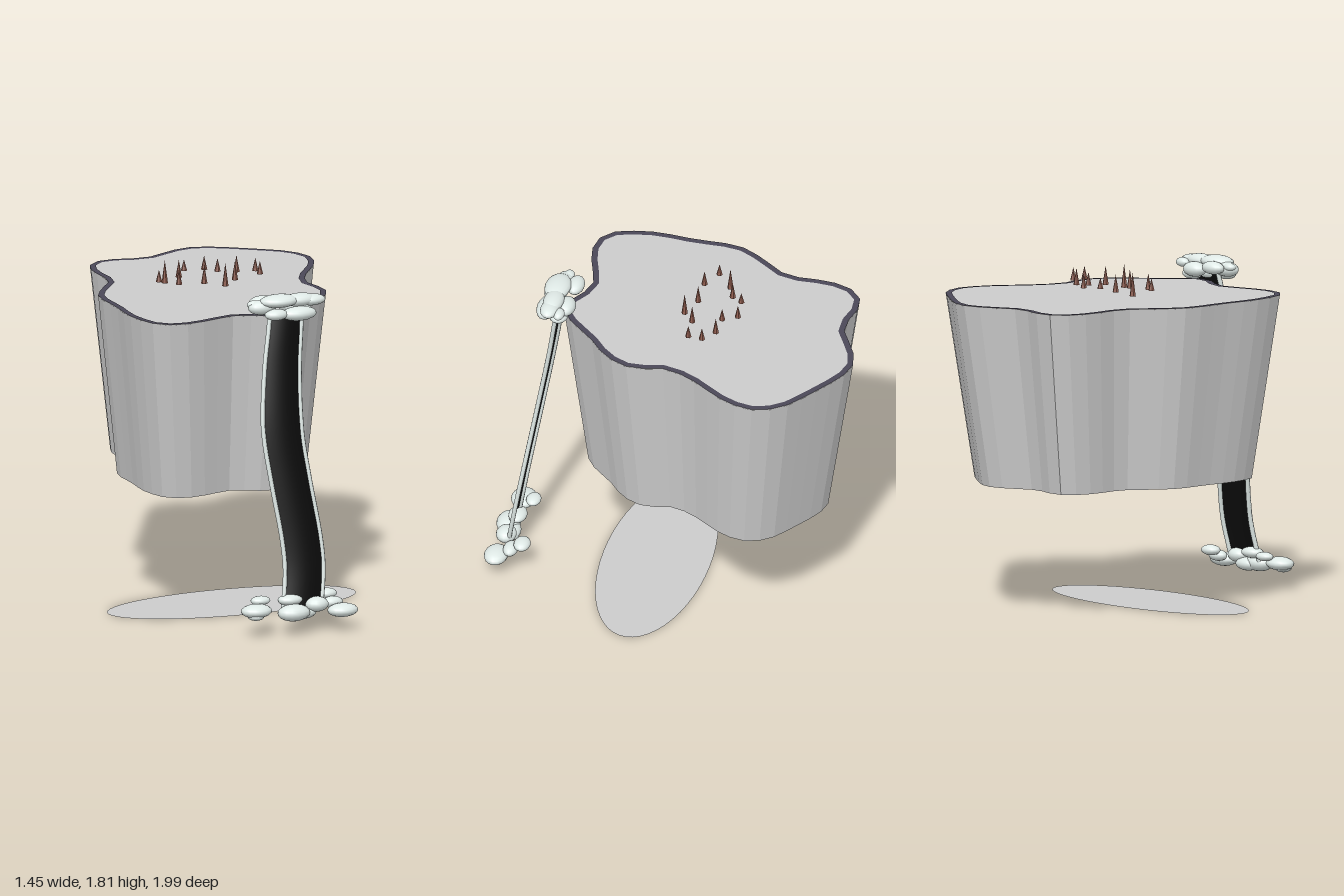
import * as THREE from 'three';

const TOP = 1.66, BOTTOM = 0.68, TAPER = 0.83, CENTRE = [-0.035, -0.14];

// Island outline [x, z], clockwise seen from above
const OUTLINE = [
  [0.21, -0.995], [0.295, -0.975], [0.51, -0.835], [0.665, -0.705], [0.72, -0.56], [0.675, -0.4],
  [0.535, -0.185], [0.48, -0.04], [0.51, 0.14], [0.445, 0.29], [0.29, 0.43], [0.205, 0.53],
  [0.07, 0.612], [-0.085, 0.535], [-0.155, 0.51], [-0.245, 0.53], [-0.42, 0.58], [-0.515, 0.58],
  [-0.61, 0.535], [-0.675, 0.32], [-0.665, 0.08], [-0.655, -0.185], [-0.545, -0.365], [-0.475, -0.47],
  [-0.47, -0.68], [-0.45, -0.795], [-0.395, -0.875], [-0.31, -0.91], [-0.09, -0.875], [0.09, -0.965],
];

const mat = (color, opts = {}) => new THREE.MeshStandardMaterial({ color, ...opts });
const grey = mat(0xcccccc, { side: THREE.DoubleSide });
const greyFlat = mat(0xcccccc, { side: THREE.DoubleSide, flatShading: true });
const rimMat = mat(0x4b4858, { side: THREE.DoubleSide });
const waterMat = mat(0x0b0b0b, { side: THREE.DoubleSide });
const foamMat = mat(0xdfe9e6);
const spikeMat = mat(0x8c5a4c, { flatShading: true });

function add(parent, name, geometry, material) {
  const mesh = new THREE.Mesh(geometry, material);
  mesh.name = name;
  parent.add(mesh);
  return mesh;
}

// Surface through rows of points, rows running from top to bottom
function loft(rows) {
  const n = rows[0].length, index = [];
  for (let r = 0; r < rows.length - 1; r++) {
    for (let i = 0; i < n - 1; i++) {
      const a = r * n + i, d = a + n;
      index.push(a, a + 1, d + 1, a, d + 1, d);
    }
  }
  const geo = new THREE.BufferGeometry().setFromPoints(rows.flat());
  geo.setIndex(index);
  geo.computeVertexNormals();
  return geo;
}

function flatShape(points, hole) {
  const toShape = p => new THREE.Vector2(p.x, -p.z);
  const shape = new THREE.Shape(points.map(toShape));
  if (hole) shape.holes.push(new THREE.Path(hole.map(toShape)));
  return new THREE.ShapeGeometry(shape).rotateX(-Math.PI / 2);
}

function buildIsland(parent) {
  const curve = new THREE.CatmullRomCurve3(
    OUTLINE.map(([x, z]) => new THREE.Vector3(x, TOP, z)), true, 'centripetal');
  const ring = curve.getSpacedPoints(50);
  const base = ring.map(p => new THREE.Vector3(
    CENTRE[0] + (p.x - CENTRE[0]) * TAPER, BOTTOM, CENTRE[1] + (p.z - CENTRE[1]) * TAPER));
  const wall = loft([ring, base]).toNonIndexed();
  wall.computeVertexNormals();
  add(parent, 'islandWall', wall, greyFlat);

  // Ground cap with a thin dark border inset from the outline
  const loop = ring.slice(0, -1), n = loop.length;
  const inset = loop.map((p, i) => {
    const t = loop[(i + 1) % n].clone().sub(loop[(i + n - 1) % n]).normalize();
    return new THREE.Vector3(p.x - t.z * 0.032, 0, p.z + t.x * 0.032);
  });
  add(parent, 'islandTop', flatShape(loop), grey).position.y = TOP - 0.004;
  add(parent, 'islandRim', flatShape(loop, inset), rimMat).position.y = TOP;
}

function buildWaterfall(parent) {
  const group = new THREE.Group();
  group.name = 'waterfall';
  parent.add(group);
  const path = new THREE.CatmullRomCurve3([
    [0.08, 1.7, 0.625], [0.072, 1.62, 0.64], [0.04, 1.4, 0.675], [0.018, 1.07, 0.733], [0.045, 0.8, 0.778],
    [0.085, 0.5, 0.827], [0.092, 0.34, 0.853], [0.065, 0.13, 0.89],
  ].map(p => new THREE.Vector3(...p)));
  const centres = path.getSpacedPoints(24);
  const half = i => 0.09 + 0.02 * Math.min(1, i / 9);

  // Sheet bulging slightly forward in the middle
  const rows = centres.map((c, i) => Array.from({ length: 9 }, (_, k) => {
    const u = 1 - k / 4;
    return new THREE.Vector3(c.x + u * half(i), c.y, c.z + 0.022 * (1 - u * u));
  }));
  add(group, 'waterSheet', loft(rows), waterMat);

  for (const side of [1, -1]) {
    const edge = new THREE.CatmullRomCurve3(
      centres.map((c, i) => new THREE.Vector3(c.x + side * half(i), c.y, c.z)));
    add(group, side > 0 ? 'leftFoamEdge' : 'rightFoamEdge',
      new THREE.TubeGeometry(edge, 36, 0.013, 6), foamMat);
  }
}

// Foam blobs: x, y, z, then radii in x, y, z
const TOP_FOAM = [
  [-0.06, 1.725, 0.64, 0.08, 0.04, 0.05], [0.03, 1.755, 0.655, 0.11, 0.035, 0.07],
  [0.15, 1.75, 0.65, 0.1, 0.035, 0.055], [0.22, 1.745, 0.655, 0.075, 0.03, 0.05],
  [0.13, 1.685, 0.69, 0.1, 0.038, 0.055], [0.0, 1.69, 0.69, 0.065, 0.03, 0.045],
  [-0.03, 1.735, 0.57, 0.075, 0.035, 0.045], [0.13, 1.71, 0.585, 0.075, 0.04, 0.05],
  [0.24, 1.735, 0.6, 0.045, 0.025, 0.03], [-0.1, 1.74, 0.625, 0.04, 0.022, 0.03],
  [0.18, 1.68, 0.615, 0.06, 0.03, 0.05],
];
const BOTTOM_FOAM = [
  [-0.2, 0.14, 0.895, 0.085, 0.036, 0.068], [-0.15, 0.178, 0.83, 0.055, 0.024, 0.04],
  [-0.21, 0.115, 0.91, 0.045, 0.022, 0.045], [0.0, 0.18, 0.88, 0.07, 0.03, 0.05],
  [0.0, 0.12, 0.93, 0.09, 0.045, 0.065], [0.06, 0.11, 0.9, 0.08, 0.035, 0.05],
  [0.14, 0.15, 0.91, 0.065, 0.04, 0.055], [0.24, 0.175, 0.8, 0.06, 0.028, 0.045],
  [0.25, 0.14, 0.86, 0.06, 0.03, 0.04], [0.28, 0.11, 0.932, 0.085, 0.036, 0.064],
];

function buildFoam(parent, name, blobs) {
  const group = new THREE.Group();
  group.name = name;
  parent.add(group);
  const sphere = new THREE.SphereGeometry(1, 16, 10);
  for (const [x, y, z, rx, ry, rz] of blobs) {
    const blob = add(group, 'foamBlob', sphere, foamMat);
    blob.position.set(x, y, z);
    blob.scale.set(rx, ry, rz);
  }
}

// Spikes: x, z, height; all centred on the same level
const SPIKES = [
  [-0.11, -0.31, 0.06], [0.01, -0.32, 0.075], [-0.165, -0.25, 0.095], [0.055, -0.245, 0.07],
  [0.16, -0.235, 0.09], [0.245, -0.18, 0.07], [-0.26, -0.215, 0.125], [-0.325, -0.14, 0.065],
  [0.24, -0.105, 0.07], [0.09, -0.09, 0.1], [-0.235, -0.08, 0.085], [-0.09, -0.08, 0.1],
  [0.01, -0.03, 0.125],
];

function buildSpikes(parent) {
  const group = new THREE.Group();
  group.name = 'spikes';
  parent.add(group);
  for (const [x, z, h] of SPIKES) {
    add(group, 'spike', new THREE.ConeGeometry(0.017, h, 6), spikeMat).position.set(x, 1.747, z);
  }
}

export function createModel() {
  const model = new THREE.Group();
  model.name = 'floatingIsland';
  buildIsland(model);
  buildWaterfall(model);
  buildFoam(model, 'topFoam', TOP_FOAM);
  buildFoam(model, 'bottomFoam', BOTTOM_FOAM);
  buildSpikes(model);

  // Oval disc on the ground beneath the island
  const disc = new THREE.CircleGeometry(1, 48).rotateX(-Math.PI / 2).scale(0.705, 1, 0.29);
  add(model, 'groundDisc', disc, grey).position.set(-0.022, 0, 0.13);
  return model;
}
